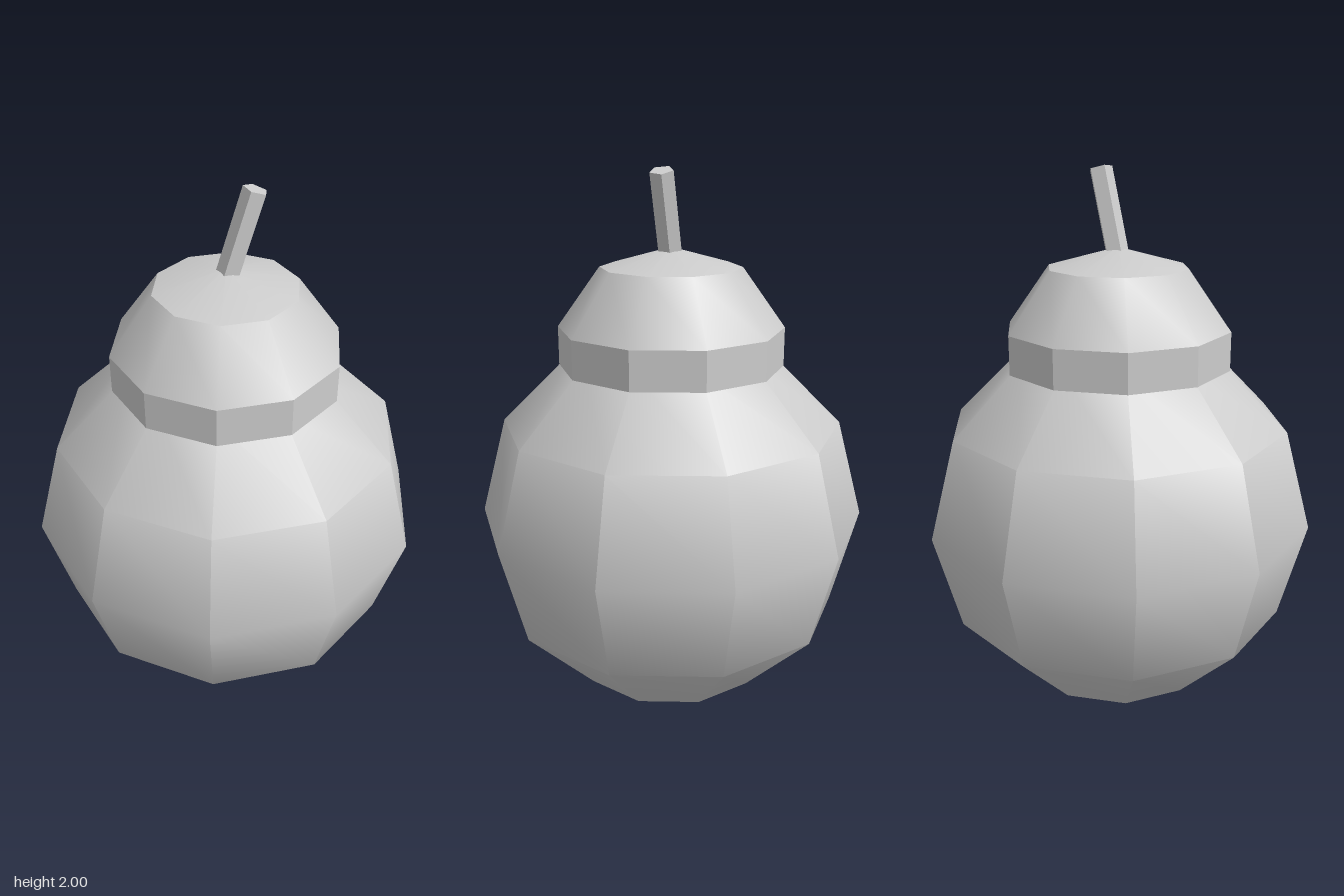
import * as THREE from 'three';
import { toCreasedNormals } from 'three/addons/utils/BufferGeometryUtils.js';

const SIDES = 10;
const CREASE = Math.PI / 6;

export function createModel() {
  const group = new THREE.Group();
  const grey = new THREE.MeshStandardMaterial({ color: 0xcccccc });
  grey.name = 'light grey';

  // Adds a named part, keeping edges sharper than 30 degrees creased
  const add = (name, geometry) => {
    const mesh = new THREE.Mesh(toCreasedNormals(geometry, CREASE), grey);
    mesh.name = name;
    group.add(mesh);
    return mesh;
  };

  // Round lower body
  add('body', new THREE.SphereGeometry(0.72, SIDES, 6)).position.y = 0.725;

  // Straight band, sloped shoulder and shallow pointed top, closed underneath
  const profile = [[0, 1.3], [0.41, 1.3], [0.41, 1.44], [0.255, 1.655], [0, 1.725]];
  const points = profile.map(([r, y]) => new THREE.Vector2(r, y));
  add('cap', new THREE.LatheGeometry(points, SIDES, Math.PI / 2));

  // Five-sided stem leaning to the left
  const length = 0.32;
  const lean = 0.3;
  const stem = add('stem', new THREE.CylinderGeometry(0.043, 0.043, length, 5, 1, false, Math.PI));
  stem.rotation.z = -lean;
  stem.position.set(0.095 - Math.sin(lean) * length / 2, 1.988 - Math.cos(lean) * length / 2, 0);

  return group;
}
